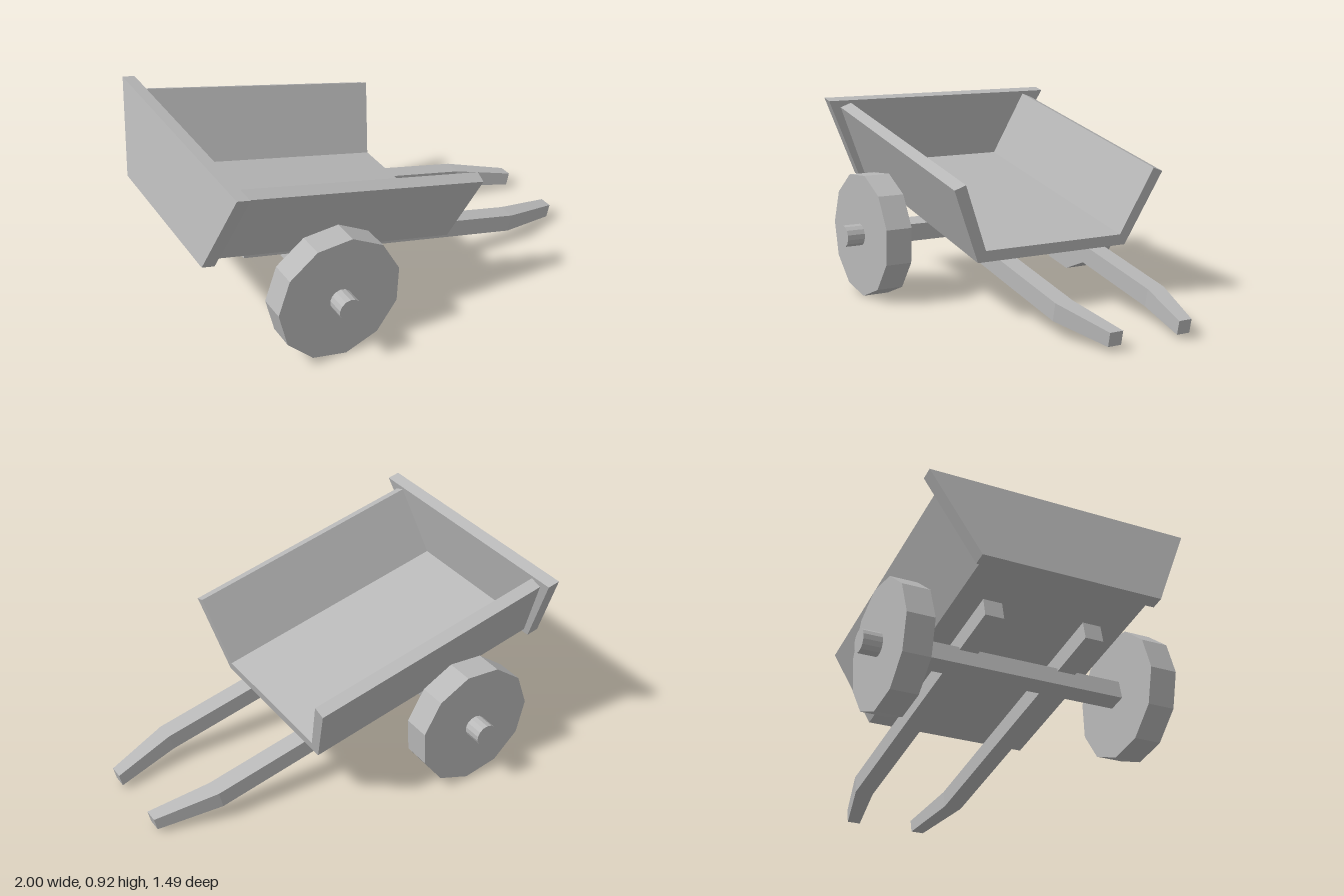
import * as THREE from 'three';

const TILT = 0.2195; // the whole cart body leans down towards its handles

export function createModel() {
  const wood = new THREE.MeshStandardMaterial({ color: 0xb8b8b8 });
  wood.name = 'grey';
  wood.flatShading = true;

  const model = new THREE.Group();
  model.name = 'handcart';

  // Tilted body: origin on the wheel axis, x along the cart, y away from its floor
  const body = new THREE.Group();
  body.name = 'body';
  body.position.set(-0.46, 0.3, 0);
  body.rotation.z = -TILT;
  model.add(body);

  const add = (parent, name, geometry, x = 0, y = 0, z = 0) => {
    const mesh = new THREE.Mesh(geometry, wood);
    mesh.name = name;
    mesh.position.set(x, y, z);
    parent.add(mesh);
    return mesh;
  };

  // Cross-section (z, y) extruded along x
  const extrudeAlongX = (points, length) => {
    const shape = new THREE.Shape(points.map(([a, b]) => new THREE.Vector2(a, b)));
    return new THREE.ExtrudeGeometry(shape, { depth: length, bevelEnabled: false })
      .rotateY(Math.PI / 2);
  };

  // Tray: floor with two flared sides, open at the handle end
  const half = [[0.405, 0.115], [0.565, 0.477], [0.51, 0.498], [0.37, 0.17]];
  const mirrored = half.map(([z, y]) => [-z, y]).reverse();
  add(body, 'tray', extrudeAlongX([...half, ...mirrored], 1.213), -0.515);

  // End board, wider at the top
  add(body, 'endBoard', extrudeAlongX(
    [[-0.43, 0.094], [0.43, 0.094], [0.63, 0.512], [-0.63, 0.512]], 0.06), -0.575);

  // Square axle beam
  add(body, 'axle', new THREE.BoxGeometry(0.09, 0.09, 1.06));

  // Handles: straight bars that bend inwards and thin out at the tip
  const sections = [
    { x: -0.3, y: [0.03, 0.115], z: [0.2, 0.29] },
    { x: 1.168, y: [0.03, 0.115], z: [0.2, 0.29] },
    { x: 1.472, y: [0.043, 0.108], z: [0.147, 0.213] },
  ];
  for (const side of [1, -1]) {
    const geometry = new THREE.BoxGeometry(1, 1, 1, 2, 1, 1);
    const p = geometry.attributes.position;
    for (let i = 0; i < p.count; i++) {
      const s = sections[Math.round((p.getX(i) + 0.5) * 2)];
      const outer = p.getZ(i) * side > 0;
      p.setXYZ(i, s.x, s.y[p.getY(i) > 0 ? 1 : 0], side * s.z[outer ? 1 : 0]);
    }
    geometry.computeVertexNormals();
    add(body, side > 0 ? 'frontHandle' : 'backHandle', geometry);
  }

  // Eleven-sided wheels with protruding hubs
  const wheelGeometry = new THREE.CylinderGeometry(
    0.3, 0.3, 0.13, 11, 1, false, THREE.MathUtils.degToRad(102.8)).rotateX(Math.PI / 2);
  const hubGeometry = new THREE.CylinderGeometry(0.053, 0.053, 0.2, 14).rotateX(Math.PI / 2);
  for (const side of [1, -1]) {
    const wheel = new THREE.Group();
    wheel.name = side > 0 ? 'frontWheel' : 'backWheel';
    wheel.position.set(-0.46, 0.3, 0);
    add(wheel, 'disc', wheelGeometry, 0, 0, side * 0.59);
    add(wheel, 'hub', hubGeometry, 0, 0, side * 0.643);
    model.add(wheel);
  }

  return model;
}
